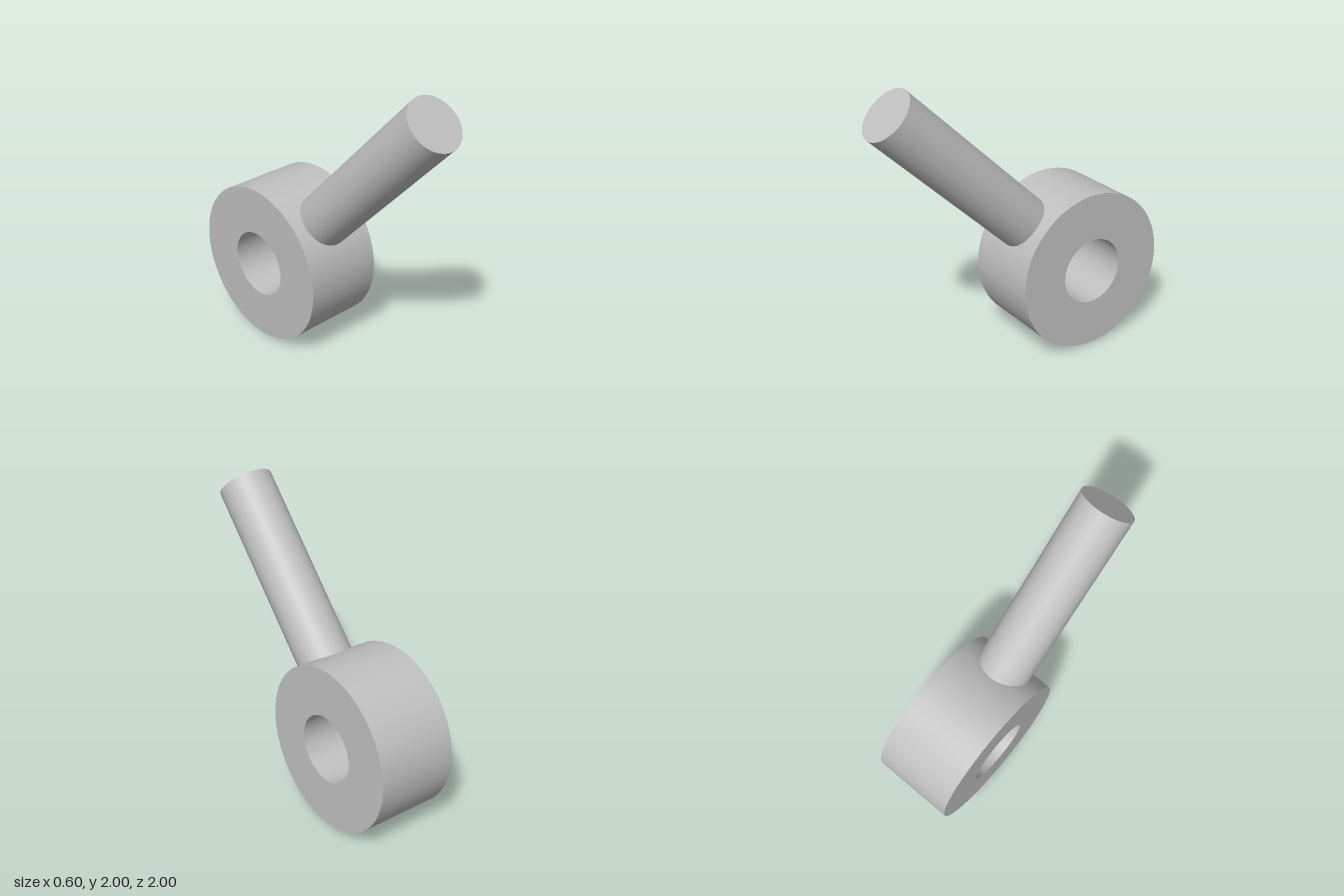
import * as THREE from 'three';

const UP = new THREE.Vector3(0, 1, 0);

export function createModel() {
  const group = new THREE.Group();
  const grey = new THREE.MeshStandardMaterial({ color: 0xc0c0c0 });
  grey.name = 'grey';

  const centre = new THREE.Vector3(0, 0.565, -0.44);

  // Hub: thick ring on a slightly tilted axis; doubled corners keep edges sharp
  const outer = 0.555, bore = 0.23, half = 0.277;
  const corners = [[bore, -half], [outer, -half], [outer, half], [bore, half], [bore, -half]];
  const profile = corners.flatMap(([r, y], i) => {
    const inside = i > 0 && i < corners.length - 1;
    return Array.from({ length: inside ? 2 : 1 }, () => new THREE.Vector2(r, y));
  });
  const hub = new THREE.Mesh(new THREE.LatheGeometry(profile, 96), grey);
  hub.name = 'hub';
  hub.position.copy(centre);
  hub.quaternion.setFromUnitVectors(UP, new THREE.Vector3(1, 0.029, 0.031).normalize());
  group.add(hub);

  // Handle: round rod leaving the hub radially, its root sunk into the rim
  const tip = new THREE.Vector3(-0.08, 1.87, 0.87);
  const direction = tip.clone().sub(centre).normalize();
  const root = centre.clone().addScaledVector(direction, 0.5);
  const handle = new THREE.Mesh(
    new THREE.CylinderGeometry(0.184, 0.184, root.distanceTo(tip), 64), grey);
  handle.name = 'handle';
  handle.position.copy(root).lerp(tip, 0.5);
  handle.quaternion.setFromUnitVectors(UP, direction);
  group.add(handle);

  return group;
}
